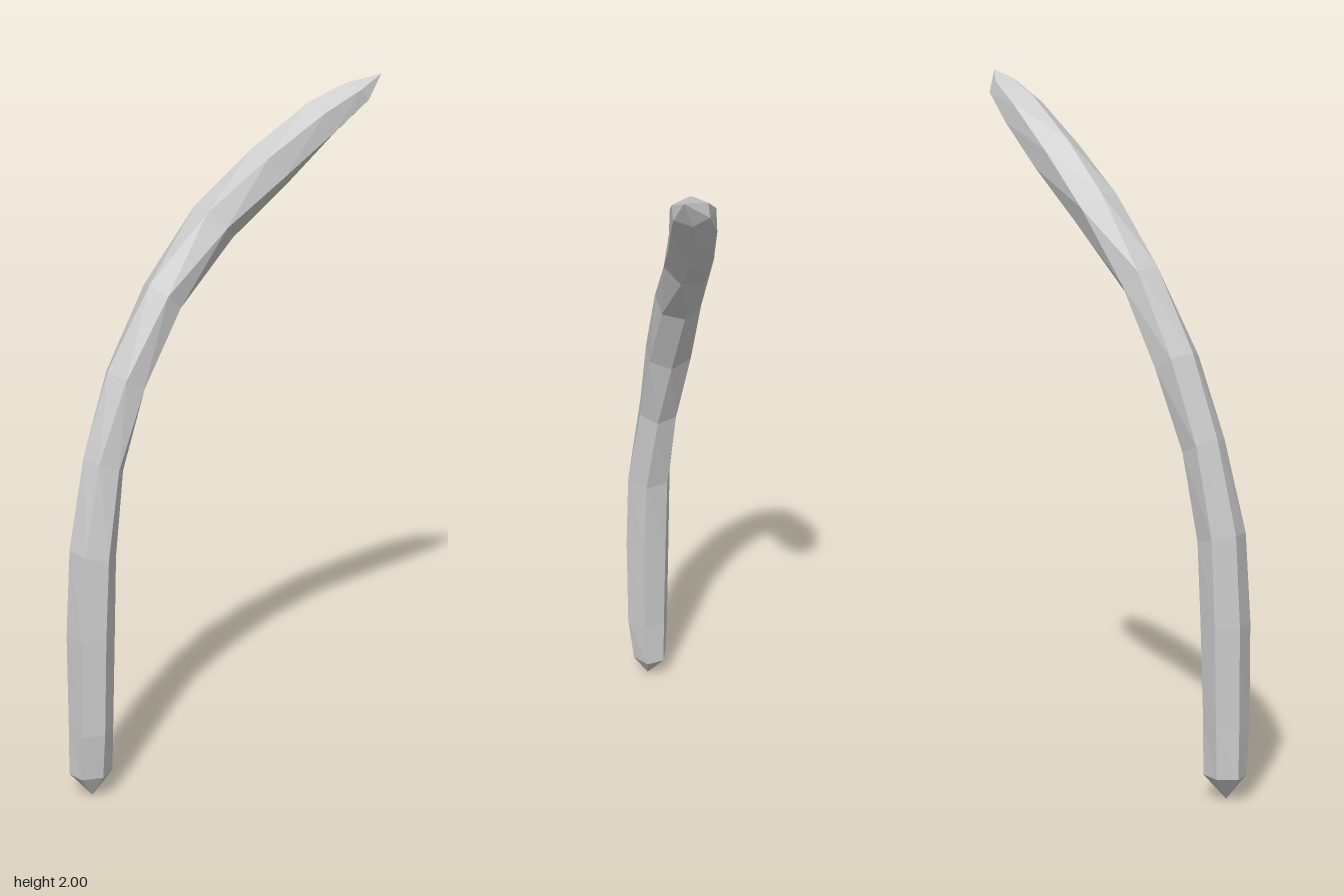
import * as THREE from 'three';

const SIDES = 6;

// Each ring: outer edge x, y; inner edge x, y; back z, front z; twist in degrees
const RINGS = [
  [-0.48, 0.07, -0.36, 0.07, -0.03, 0.075, -18],
  [-0.48, 0.21, -0.36, 0.21, -0.035, 0.092, -18],
  [-0.48, 0.50, -0.35, 0.50, -0.04, 0.095, -17],
  [-0.465, 0.75, -0.34, 0.72, -0.042, 0.09, -15],
  [-0.41, 1.01, -0.30, 0.96, -0.055, 0.06, -10],
  [-0.33, 1.24, -0.22, 1.18, -0.075, 0.045, 0],
  [-0.20, 1.47, -0.11, 1.39, -0.085, 0.04, 10],
  [-0.04, 1.66, 0.05, 1.575, -0.094, 0.045, 35],
  [0.12, 1.81, 0.22, 1.71, -0.07, 0.062, 48],
  [0.28, 1.93, 0.35, 1.83, -0.042, 0.08, 57],
  [0.39, 1.98, 0.44, 1.92, -0.002, 0.09, 60],
];
const BOTTOM_TIP = [-0.42, 0, 0.03];
const TOP_TIP = [0.478, 2, 0.072];

// Corners of one twisted cross-section, stretched to fill its extents
function ringPoints([ox, oy, ix, iy, zBack, zFront, twist]) {
  const angles = Array.from({ length: SIDES }, (_, i) =>
    THREE.MathUtils.degToRad(twist) + (i / SIDES) * Math.PI * 2);
  const maxC = Math.max(...angles.map((a) => Math.abs(Math.cos(a))));
  const maxS = Math.max(...angles.map((a) => Math.abs(Math.sin(a))));
  return angles.map((a) => {
    const c = Math.cos(a) / maxC;
    const s = Math.sin(a) / maxS;
    return [
      (ox + ix) / 2 + (c * (ox - ix)) / 2,
      (oy + iy) / 2 + (c * (oy - iy)) / 2,
      (zBack + zFront) / 2 + (s * (zFront - zBack)) / 2,
    ];
  });
}

export function createModel() {
  const rings = RINGS.map(ringPoints);
  const positions = [];
  const tri = (a, b, c) => positions.push(...a, ...b, ...c);

  for (let j = 0; j < SIDES; j++) {
    const k = (j + 1) % SIDES;
    // Faceted shaft
    for (let i = 0; i < rings.length - 1; i++) {
      const lo = rings[i];
      const hi = rings[i + 1];
      tri(lo[j], lo[k], hi[j]);
      tri(lo[k], hi[k], hi[j]);
    }
    // Pointed ends
    const first = rings[0];
    const last = rings[rings.length - 1];
    tri(BOTTOM_TIP, first[k], first[j]);
    tri(last[j], last[k], TOP_TIP);
  }

  const geometry = new THREE.BufferGeometry();
  geometry.setAttribute('position', new THREE.Float32BufferAttribute(positions, 3));
  geometry.computeVertexNormals();

  const shaft = new THREE.Mesh(
    geometry,
    new THREE.MeshStandardMaterial({ color: 0xcccccc, flatShading: true }),
  );
  shaft.name = 'curvedShaft';

  const group = new THREE.Group();
  group.name = 'curvedRod';
  group.add(shaft);
  return group;
}
